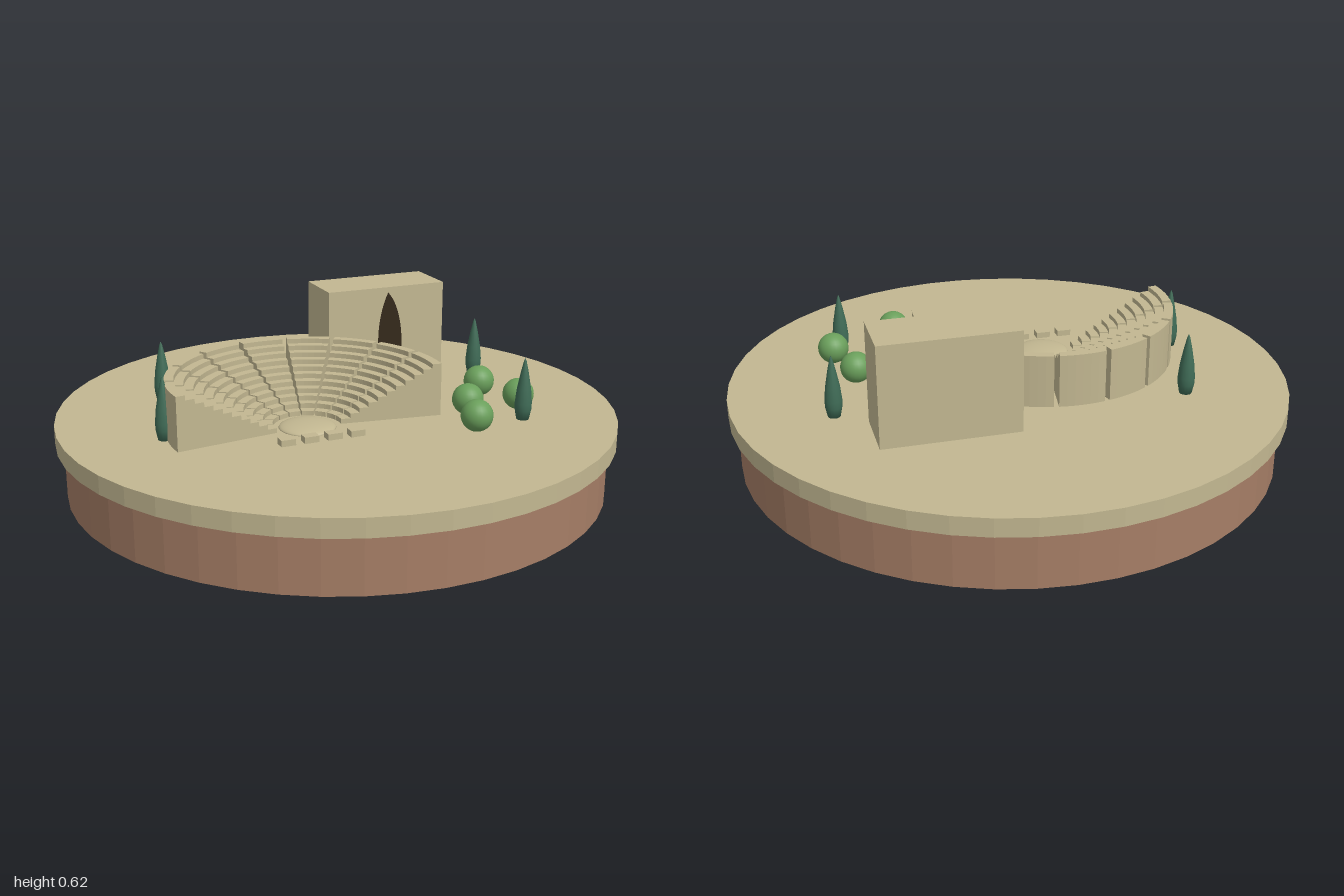
import * as THREE from 'three';

const mat = (name, color, opts = {}) => {
  const m = new THREE.MeshStandardMaterial({ color, ...opts });
  m.name = name;
  return m;
};

const GROUND = 0.265;
const TILT = -0.343; // shared yaw of the stage and the rock block
const rad = THREE.MathUtils.degToRad;

// Stepped seating wedge: a staircase profile extruded along an angle, then bent round the y axis.
function wedgeGeometry(inner, outer, height, rows, angle) {
  const s = new THREE.Shape();
  s.moveTo(inner, 0);
  for (let i = 0; i < rows; i++) {
    const y = (height * (i + 1)) / rows;
    s.lineTo(inner + ((outer - inner) * i) / rows, y);
    s.lineTo(inner + ((outer - inner) * (i + 1)) / rows, y);
  }
  s.lineTo(outer, 0);
  s.closePath();
  const g = new THREE.ExtrudeGeometry(s, { depth: angle, steps: 6, bevelEnabled: false });
  const p = g.attributes.position;
  for (let i = 0; i < p.count; i++) {
    const r = p.getX(i), a = p.getZ(i);
    p.setXYZ(i, r * Math.cos(a), p.getY(i), r * Math.sin(a));
  }
  g.computeVertexNormals();
  return g;
}

export function createModel() {
  const root = new THREE.Group();
  root.name = 'hillsideTheatre';
  const sand = mat('sandstone', 0xc2b791);
  const sandFlat = mat('ground', 0xc2b791, { flatShading: true });
  const earth = mat('earth', 0xa67e66, { flatShading: true });
  const leaf = mat('leaf', 0x6a9f5b);
  const cypress = mat('cypressGreen', 0x3f6b56);
  const dark = mat('caveShadow', 0x33281a, { side: THREE.DoubleSide });

  const add = (name, geo, material, x, y, z, parent = root) => {
    const m = new THREE.Mesh(geo, material);
    m.name = name;
    m.position.set(x, y, z);
    parent.add(m);
    return m;
  };

  // Round base
  add('earthBase', new THREE.CylinderGeometry(0.97, 0.97, 0.2, 48), earth, 0, 0.1, 0);
  add('groundDisc', new THREE.CylinderGeometry(1, 1, GROUND - 0.2, 48), sandFlat, 0, (GROUND + 0.2) / 2, 0);

  // Nine seating wedges with open aisles between them
  const theatre = new THREE.Group();
  theatre.name = 'theatre';
  theatre.position.set(-0.225, GROUND, 0.1);
  root.add(theatre);
  const pitch = 22, gap = 2.2;
  const wedge = wedgeGeometry(0.12, 0.485, 0.19, 11, rad(pitch - gap));
  for (let i = 0; i < 9; i++) {
    const w = add('seatingWedge', wedge, sand, 0, 0, 0, theatre);
    w.rotation.y = rad(169.5 - i * pitch - gap / 2);
  }

  // Shallow round orchestra floor
  const orchestra = new THREE.SphereGeometry(0.1, 32, 8, 0, Math.PI * 2, 0, Math.PI / 2);
  add('orchestra', orchestra, sand, 0, 0, 0, theatre).scale.y = 0.2;

  // Row of stage blocks
  const block = new THREE.BoxGeometry(0.052, 0.022, 0.038);
  for (let i = 0; i < 4; i++) {
    add('stageBlock', block, sand, -0.39 + i * 0.078, GROUND + 0.011, 0.185 + i * 0.029).rotation.y = TILT;
  }

  // Rock block with a tall pointed cave mouth
  const rock = new THREE.Group();
  rock.name = 'rock';
  rock.position.set(0.41, GROUND, -0.222);
  rock.rotation.y = TILT;
  root.add(rock);
  add('rockBlock', new THREE.BoxGeometry(0.478, 0.36, 0.21), sand, 0, 0.18, 0, rock);
  const mouth = new THREE.Shape();
  mouth.moveTo(-0.03, 0.004);
  mouth.bezierCurveTo(-0.062, 0.1, -0.062, 0.24, -0.012, 0.34);
  mouth.bezierCurveTo(0.045, 0.28, 0.065, 0.13, 0.03, 0.004);
  mouth.closePath();
  add('caveMouth', new THREE.ShapeGeometry(mouth, 16), dark, 0.016, 0, 0.108, rock);

  // Round bushes
  const bush = new THREE.SphereGeometry(0.056, 24, 16);
  for (const [x, z] of [[0.48, 0.26], [0.285, 0.38], [0.175, 0.52], [0.465, 0.46]]) {
    add('bush', bush, leaf, x, GROUND + 0.056, z);
  }

  // Slim cypress trees
  const profile = [[0, 0], [0.022, 0], [0.029, 0.035], [0.03, 0.06], [0.025, 0.11], [0.014, 0.17], [0.005, 0.21], [0, 0.222]];
  const tree = new THREE.LatheGeometry(profile.map(([r, y]) => new THREE.Vector2(r, y)), 16);
  for (const [x, z] of [[-0.42, -0.485], [-0.66, -0.13], [0.675, 0.06], [0.39, 0.545]]) {
    add('cypressTree', tree, cypress, x, GROUND, z);
  }

  return root;
}
